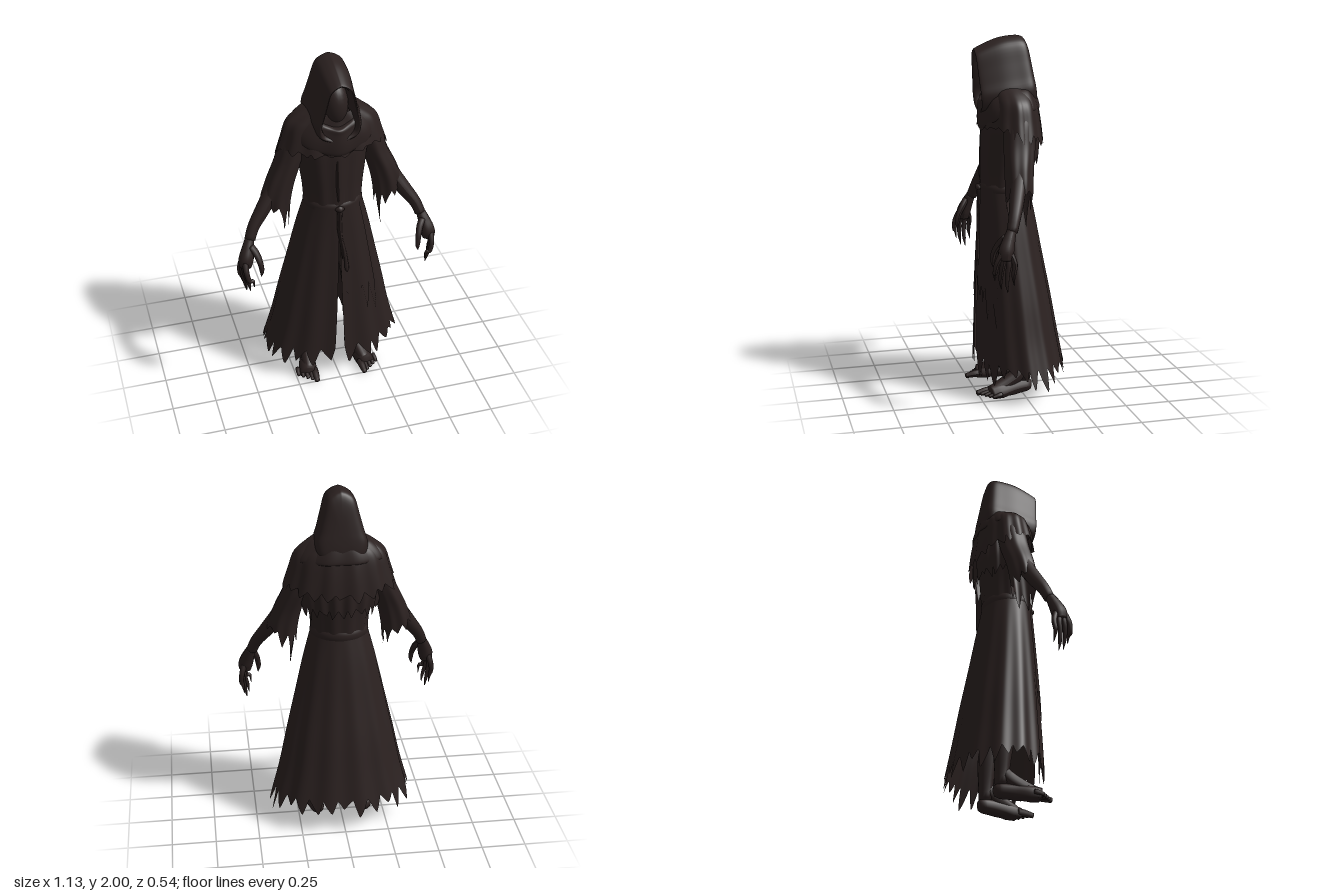
import * as THREE from 'three';
import { mergeVertices } from 'three/addons/utils/BufferGeometryUtils.js';

const cloth = new THREE.MeshStandardMaterial({ color: 0x2b2120, side: THREE.DoubleSide });
cloth.name = 'dark brown';

const hash = (i) => { const s = Math.sin(i * 127.1 + 11.7) * 43758.5453; return s - Math.floor(s); };

// Smooth interpolation through rows of numbers, v in 0..1
function sample(rows, v) {
  const t = Math.min(Math.max(v, 0), 1) * (rows.length - 1);
  const i = Math.min(Math.floor(t), rows.length - 2), f = t - i;
  const p0 = rows[Math.max(i - 1, 0)], p1 = rows[i], p2 = rows[i + 1], p3 = rows[Math.min(i + 2, rows.length - 1)];
  return p1.map((b, k) => {
    const m1 = (p2[k] - p0[k]) / 2, m2 = (p3[k] - b) / 2, c = p2[k];
    return b + f * m1 + f * f * (3 * (c - b) - 2 * m1 - m2) + f * f * f * (2 * (b - c) + m1 + m2);
  });
}

// Ragged edge: k uneven pointed teeth around u in 0..1, result 0..1
function tear(u, k, seed) {
  const t = u * k, i = Math.floor(t) % k, f = t - Math.floor(t), tip = 0.2 + 0.6 * hash(i + seed);
  return (f < tip ? f / tip : (1 - f) / (1 - tip)) * (0.25 + 0.75 * hash(i * 3 + seed + 5));
}

// Surface from a rule f(u, v) -> [x, y, z]
function surface(name, nu, nv, f) {
  const pos = [], idx = [];
  for (let j = 0; j <= nv; j++) for (let i = 0; i <= nu; i++) pos.push(...f(i / nu, j / nv));
  for (let j = 0; j < nv; j++) for (let i = 0; i < nu; i++) {
    const a = j * (nu + 1) + i, b = a + 1, c = a + nu + 1, d = c + 1;
    idx.push(a, c, b, b, c, d);
  }
  let g = new THREE.BufferGeometry();
  g.setAttribute('position', new THREE.Float32BufferAttribute(pos, 3));
  g.setIndex(idx);
  g = mergeVertices(g);
  g.computeVertexNormals();
  const m = new THREE.Mesh(g, cloth);
  m.name = name;
  return m;
}

// Tapered tube through points [x, y, z, radius], closed at both ends
function limb(name, pts, radial = 10) {
  const n = pts.length * 5;
  const curve = new THREE.CatmullRomCurve3(pts.map((p) => new THREE.Vector3(p[0], p[1], p[2])));
  const g = new THREE.TubeGeometry(curve, n, 1, radial, false);
  const p = g.attributes.position, v = new THREE.Vector3();
  for (let i = 0; i <= n; i++) {
    const c = curve.getPointAt(i / n);
    let r = sample(pts.map((q) => [q[3]]), curve.getUtoTmapping(i / n))[0];
    if (i === 0 || i === n) r *= 0.02;
    for (let j = 0; j <= radial; j++) {
      const k = i * (radial + 1) + j;
      v.fromBufferAttribute(p, k).sub(c).multiplyScalar(r);
      p.setXYZ(k, c.x + v.x, Math.max(0, c.y + v.y), c.z + v.z);
    }
  }
  g.computeVertexNormals();
  const m = new THREE.Mesh(g, cloth);
  m.name = name;
  return m;
}

// Rows: y, centre z, half width, half depth
const SKIRT = [[1.17, .065, .16, .135], [1.0, .052, .205, .155], [.78, .037, .255, .18], [.56, .02, .305, .205],
  [.33, .003, .355, .228], [.08, -.02, .425, .252]];
const TORSO = [[1.67, .03, .16, .1], [1.55, .05, .195, .135], [1.4, .055, .182, .14], [1.27, .06, .165, .137], [1.15, .065, .157, .135]];

const around = ([y, cz, rx, rz], a, off = 0) => [(rx + off) * Math.sin(a), y, cz + (rz + off) * Math.cos(a)];

export function createModel() {
  const model = new THREE.Group();
  model.name = 'hoodedFigure';

  // Long robe, open at the front, with soft folds and a torn hem
  model.add(surface('skirt', 260, 30, (u, v) => {
    const w = v * (.885 + .115 * tear(u, 27, 3));
    const gap = .015 + .09 * Math.max(0, w - .25);
    const a = gap + u * (Math.PI * 2 - 2 * gap);
    return around(sample(SKIRT, w), a, .007 * w * Math.cos(a * 13));
  }));

  model.add(surface('torso', 64, 16, (u, v) => {
    const a = u * Math.PI * 2;
    return around(sample(TORSO, v), a, .004 * Math.cos(a * 11));
  }));

  // Narrow waist sash, knot and hanging cords
  const SASH = [[1.195, .063, .156, .135], [1.18, .064, .163, .141], [1.16, .064, .165, .142], [1.14, .063, .16, .136]];
  model.add(surface('sash', 64, 8, (u, v) => around(sample(SASH, v), u * Math.PI * 2)));
  model.add(limb('sashKnot', [[-.025, 1.165, .207, .008], [0, 1.17, .214, .018], [.025, 1.165, .207, .008]]));
  model.add(limb('cord', [[.005, 1.17, .213, .01], [.005, 1.0, .215, .008], [.03, .86, .225, .01], [.04, .75, .232, .013]], 6));
  model.add(limb('cord', [[-.005, 1.17, .21, .009], [-.008, 1.05, .213, .008], [.01, .92, .22, .008], [.015, .84, .225, .004]], 6));
  model.add(limb('chestFold', [[-.01, 1.47, .198, .003], [-.012, 1.35, .196, .008], [-.004, 1.2, .2, .005]], 6));

  // Shoulder capelet over the sleeves: deeper at the back, ragged below
  const CAPE = [[1.73, .045, .13, .115], [1.69, .035, .2, .13], [1.645, .03, .25, .143], [1.56, .03, .28, .16], [1.45, .03, .318, .172]];
  model.add(surface('capelet', 200, 20, (u, v) => {
    const a = u * Math.PI * 2, back = (1 - Math.cos(a)) / 2, front = (1 - back) ** 3;
    const ragged = tear(u, 23, 9) * (1 - .7 * front);
    const p = around(sample(CAPE, v * (.84 - .08 * front + .16 * ragged)), a, .005 * v * Math.cos(a * 13));
    p[1] -= v * v * .07 * back * back + v * .05 * (1 - back) ** 8;
    p[2] += v * .012 * front;
    return p;
  }));

  // Second torn layer hanging at the back
  const BACK = [[1.55, .03, .2, .14], [1.42, .035, .225, .155], [1.27, .045, .2, .155]];
  model.add(surface('backRag', 120, 10, (u, v) => {
    const a = Math.PI * (.58 + .84 * u);
    return around(sample(BACK, v * (.72 + .28 * tear(u, 11, 21))), a, .006 * Math.cos(a * 17));
  }));

  // Draped cowl, dipping to a point at the chest
  const COWL = [[1.72, .05, .1, .1], [1.725, .05, .135, .135], [1.705, .045, .18, .143], [1.66, .04, .228, .152], [1.62, .035, .25, .155], [1.61, .035, .24, .148]];
  model.add(surface('cowl', 80, 20, (u, v) => {
    const a = u * Math.PI * 2, front = (1 + Math.cos(a)) / 2;
    const p = around(sample(COWL, v), a, .004 * Math.cos(a * 9));
    p[1] -= (.06 + .05 * v) * front ** 4;
    p[2] += .02 * front ** 4;
    return p;
  }));

  // Hood: pointed arches lofted from the lining, over the rim, to the back
  const ARCH = [[0, 1], [.27, .965], [.53, .88], [.71, .66], [.86, .465], [1, .28], [.82, .1], [0, 0]];
  // Rows: z, half width, top, bottom, lean by height
  const HOOD = [[.09, .085, 1.9, 1.6, 0], [.19, .092, 1.91, 1.6, .05], [.222, .102, 1.925, 1.585, .08], [.208, .118, 1.94, 1.575, .08],
    [.1, .14, 1.985, 1.57, .08], [.01, .143, 2.0, 1.58, .1], [-.05, .14, 1.998, 1.6, .13], [-.078, .115, 1.975, 1.62, .15],
    [-.088, .06, 1.9, 1.68, .15], [-.09, 0, 1.79, 1.77, .15]];
  model.add(surface('hood', 64, 45, (u, v) => {
    const right = u > .5, [x, h] = sample(ARCH, right ? 2 - 2 * u : 2 * u);
    const [z, w, top, bottom, lean] = sample(HOOD, v);
    const y = bottom + (top - bottom) * h;
    return [(right ? 1 : -1) * -w * x, y, z + lean * (y - 1.78)];
  }));
  const face = new THREE.Mesh(new THREE.SphereGeometry(1, 24, 16), cloth);
  face.name = 'face';
  face.scale.set(.072, .13, .085);
  face.position.set(0, 1.765, .1);
  model.add(face);

  for (const s of [1, -1]) {
    const side = new THREE.Group();
    side.name = s > 0 ? 'leftSide' : 'rightSide';
    model.add(side);
    const add = (name, pts, n) => side.add(limb(name, pts.map(([x, ...r]) => [x * s, ...r]), n));

    // Torn front panels over the robe
    side.add(surface('frontPanel', 90, 20, (u, v) => {
      const a = s * (.1 + .75 * u), w = v * (.54 + .2 * tear(u, 4, 14 + s));
      return around(sample(SKIRT, w), a, .006 + .007 * w * Math.cos(a * 13));
    }));

    // Wide sleeve, its ragged cuff hanging lowest on the inner side
    const SLEEVE = [[1.66, .17, .02, .05, .065], [1.55, .205, .03, .07, .083], [1.43, .242, .04, .072, .085],
      [1.31, .29, .055, .079, .077], [1.2, .318, .062, .083, .072], [1.08, .318, .065, .07, .066], [.93, .305, .06, .03, .056]];
    side.add(surface('sleeve', 120, 26, (u, v) => {
      const a = u * Math.PI * 2, inner = (1 - Math.sin(a) * s) / 2;
      const w = v * (.64 + .1 * inner + (.06 + .22 * inner) * tear(u, 9, 30 + s));
      const [y, cx, cz, rx, rz] = sample(SLEEVE, w);
      const o = .004 * Math.cos(a * 7) * v;
      return [s * cx + (rx + o) * Math.sin(a), y, cz + (rz + o) * Math.cos(a)];
    }));

    // Thin arm and hand with long clawed fingers
    add('arm', [[.23, 1.48, .04, .05], [.328, 1.28, .065, .046], [.4, 1.17, .095, .041], [.463, 1.08, .125, .033], [.495, 1.0, .15, .03]], 14);
    add('palm', [[.488, 1.03, .145, .026], [.505, .98, .165, .034], [.522, .92, .185, .042], [.53, .87, .19, .034]], 12);
    add('thumb', [[.495, 1.0, .175, .02], [.468, .96, .205, .019], [.453, .91, .232, .016], [.448, .865, .24, .013], [.452, .825, .238, .002]], 8);
    for (let i = 0; i < 4; i++) {
      const z = .145 + i * .031, low = [.74, .7, .715, .76][i];
      add('finger', [[.532, .92, .165 + i * .014, .018], [.55 - i * .006, .86, z, .015], [.553 - i * .012, .81, z + .006, .013],
        [.546 - i * .015, low + .05, z + .006, .01], [.538 - i * .015, low, z, .002]], 8);
    }

    // Bare leg and outward-turned foot, sloping from ankle to toes
    add('leg', [[.1, 1.0, .05, .08], [.115, .75, .05, .078], [.13, .5, .04, .06], [.14, .3, .0, .055], [.142, .14, -.01, .04], [.142, .05, -.012, .038]], 14);
    add('instep', [[.142, .17, -.008, .028], [.146, .115, .02, .042], [.158, .07, .09, .04], [.17, .04, .16, .034], [.177, .03, .2, .02]], 12);
    add('foot', [[.138, .035, -.06, .025], [.14, .04, -.025, .04], [.155, .035, .06, .045], [.172, .022, .14, .052], [.183, .014, .2, .048]], 14);
    for (let i = 0; i < 5; i++) {
      const x = .14 + i * .023, r = i ? .014 : .021;
      add('toe', [[x, .028, .165 - i * .008, r], [x + .003, .024, .21 - i * .014, r], [x + .006, .014, .268 - i * .019, r * .7]], 8);
    }
  }
  return model;
}
